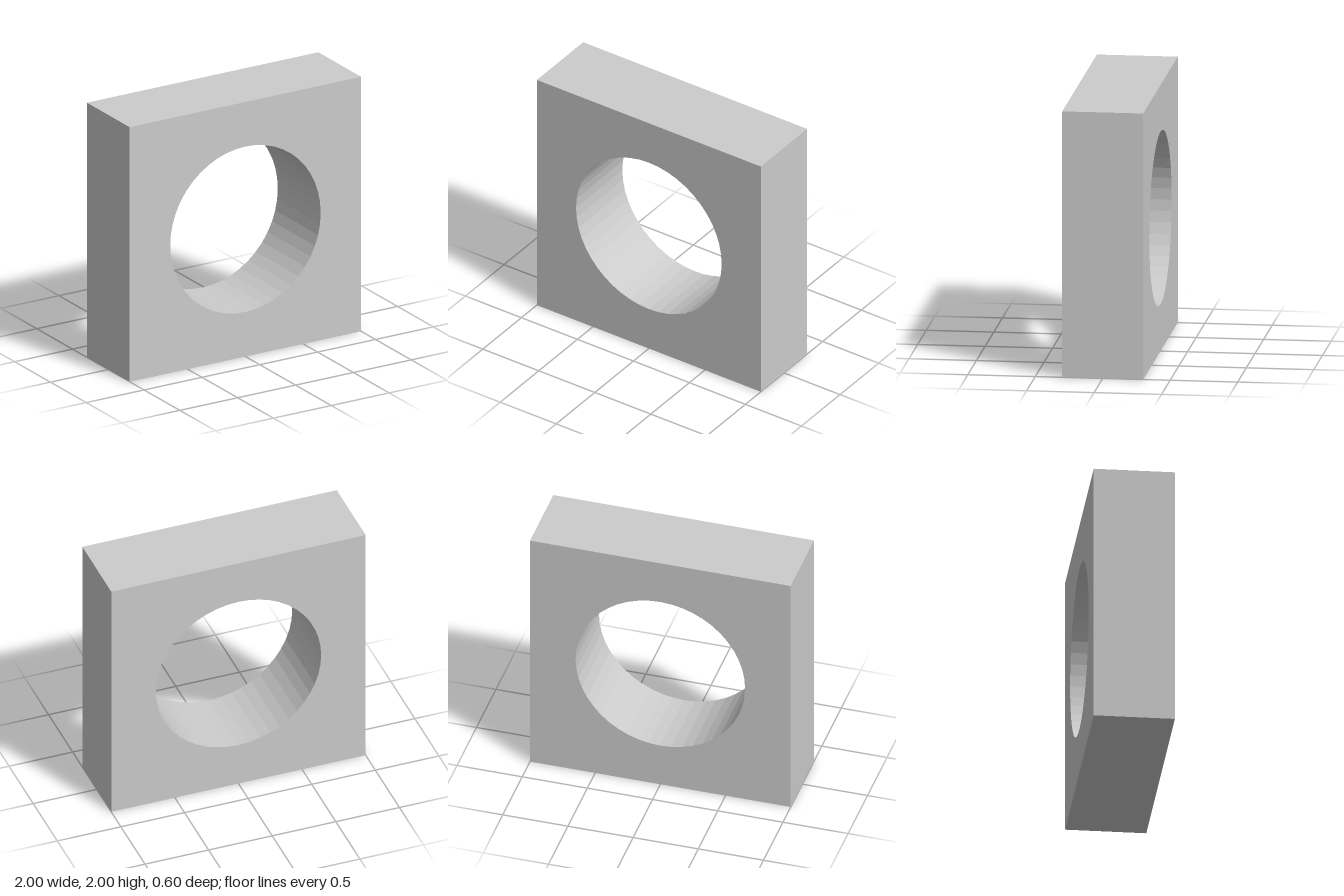
import * as THREE from 'three';

const SIZE = 2, DEPTH = 0.6, HOLE_RADIUS = 0.65, HOLE_SIDES = 48;

export function createModel() {
  const group = new THREE.Group();
  group.name = 'piercedBlock';

  // Square outline standing on the ground
  const h = SIZE / 2;
  const outline = new THREE.Shape([
    new THREE.Vector2(-h, 0),
    new THREE.Vector2(h, 0),
    new THREE.Vector2(h, SIZE),
    new THREE.Vector2(-h, SIZE),
  ]);

  // Round hole through the centre
  const hole = new THREE.Path();
  hole.absarc(0, h, HOLE_RADIUS, 0, Math.PI * 2, true);
  outline.holes.push(hole);

  // Faceted bore: the extrusion keeps flat normals on every side
  const geometry = new THREE.ExtrudeGeometry(outline, {
    depth: DEPTH,
    bevelEnabled: false,
    curveSegments: HOLE_SIDES / 2, // a full arc is split into twice this number
  });
  geometry.translate(0, 0, -DEPTH / 2);

  const block = new THREE.Mesh(
    geometry,
    new THREE.MeshStandardMaterial({ color: 0xcccccc, flatShading: true }),
  );
  block.name = 'blockWithRoundHole';
  group.add(block);
  return group;
}
